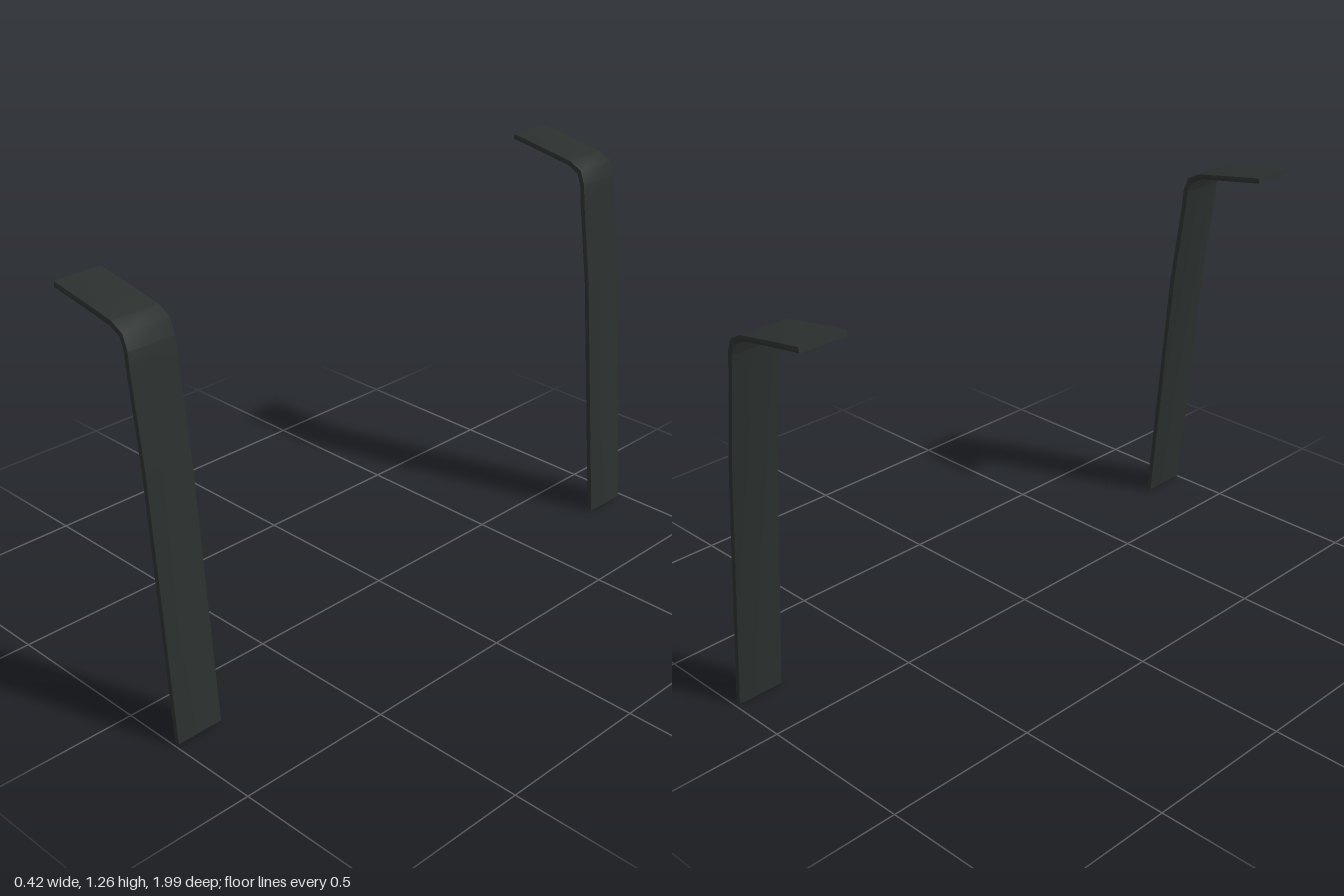
import * as THREE from 'three';
import { toCreasedNormals } from 'three/addons/utils/BufferGeometryUtils.js';

const HALF_THICKNESS = 0.009, WIDTH = 0.155, BEVEL = 0.004;

// Centre line of the bent flat bar, from the tip of the arm to the foot
const PATH = [
  [-0.204, 1.247], [-0.078, 1.227], [0.028, 1.209], [0.069, 1.188],
  [0.084, 1.148], [0.089, 1.092], [0.126, 0.826], [0.199, 0.007],
].map(([x, y]) => new THREE.Vector2(x, y));

// Side outline of the bar: the centre line offset to both sides with mitred corners
function barOutline(half) {
  const upper = [], lower = [];
  PATH.forEach((p, i) => {
    const prev = PATH[Math.max(i - 1, 0)], next = PATH[Math.min(i + 1, PATH.length - 1)];
    const a = (i > 0 ? p.clone().sub(prev) : next.clone().sub(p)).normalize();
    const b = (next !== p ? next.clone().sub(p) : a.clone()).normalize();
    const t = a.clone().add(b).normalize();
    const n = new THREE.Vector2(-t.y, t.x).multiplyScalar(half / t.dot(a));
    upper.push(p.clone().add(n));
    lower.push(p.clone().sub(n));
  });
  return new THREE.Shape([...upper, ...lower.reverse()]);
}

function makeBar() {
  const geo = new THREE.ExtrudeGeometry(barOutline(HALF_THICKNESS - BEVEL), {
    depth: WIDTH - 2 * BEVEL, bevelEnabled: true,
    bevelThickness: BEVEL, bevelSize: BEVEL, bevelSegments: 2,
  });
  geo.translate(0, 0, -WIDTH / 2 + BEVEL);
  // Slight lean backwards towards the top
  const pos = geo.attributes.position;
  for (let i = 0; i < pos.count; i++) pos.setZ(i, pos.getZ(i) - 0.008 * (pos.getY(i) / 1.25 - 0.5));
  return toCreasedNormals(geo, 0.4);
}

export function createModel() {
  const group = new THREE.Group();
  group.name = 'bracketPair';
  const material = new THREE.MeshStandardMaterial({ color: 0x2b302e });
  const geometry = makeBar();
  // One bracket at each end
  for (const [name, y, z] of [['frontBracket', 0.007, 0.914], ['backBracket', 0, -0.914]]) {
    const bar = new THREE.Mesh(geometry, material);
    bar.name = name;
    bar.position.set(0, y, z);
    group.add(bar);
  }
  return group;
}
